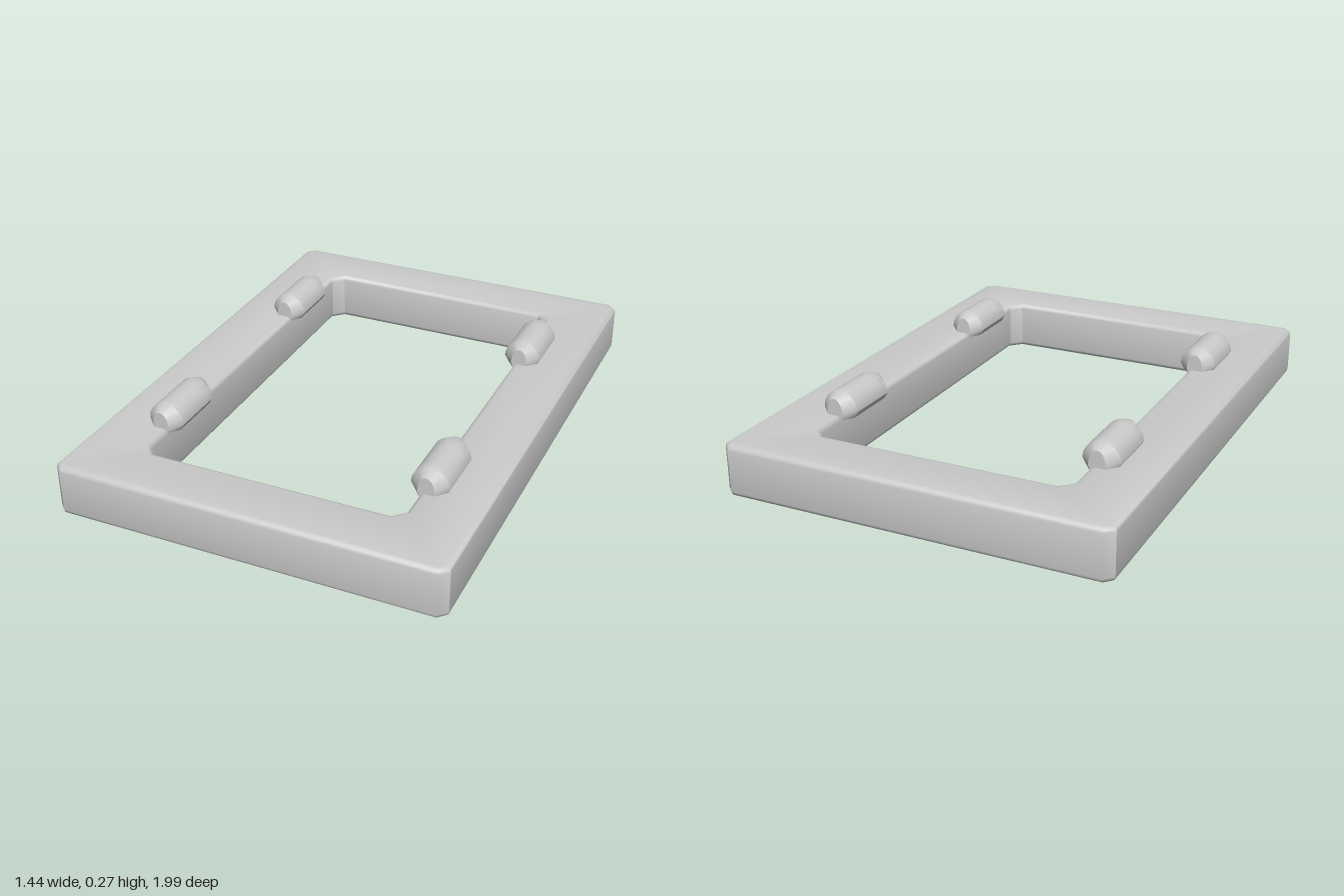
import * as THREE from 'three';
import { toCreasedNormals } from 'three/addons/utils/BufferGeometryUtils.js';

const material = new THREE.MeshStandardMaterial({ color: 0xcccccc });

// Rectangle outline with cut corners
function cutRectangle(PathType, w, d, cut) {
  const pts = [
    [w - cut, -d], [w, -d + cut], [w, d - cut], [w - cut, d],
    [-w + cut, d], [-w, d - cut], [-w, -d + cut], [-w + cut, -d],
  ];
  return new PathType(pts.map(([x, y]) => new THREE.Vector2(x, y)));
}

function createFrame() {
  const bevel = 0.018, height = 0.19;
  const shape = cutRectangle(THREE.Shape, 0.72 - bevel, 0.995 - bevel, 0.02);
  shape.holes.push(cutRectangle(THREE.Path, 0.483 + bevel, 0.78 + bevel, 0.05));
  const geometry = new THREE.ExtrudeGeometry(shape, {
    depth: height - 2 * bevel, bevelEnabled: true,
    bevelSize: bevel, bevelThickness: bevel, bevelSegments: 3,
  });
  geometry.rotateX(-Math.PI / 2).translate(0, bevel, 0);
  const frame = new THREE.Mesh(toCreasedNormals(geometry, 0.7), material);
  frame.name = 'frame';
  return frame;
}

// Half-round peg with a short straight base and tapered ends
function createPegGeometry() {
  const r = 0.07, base = -0.025, length = 0.285, steps = 7;
  const shape = new THREE.Shape();
  shape.moveTo(-0.055, base);
  shape.lineTo(0.055, base);
  for (let i = 0; i <= 10; i++) {
    const a = (i / 10) * Math.PI;
    shape.lineTo(r * Math.cos(a), r * Math.sin(a));
  }
  const geometry = new THREE.ExtrudeGeometry(shape, { depth: length, steps, bevelEnabled: false });
  geometry.translate(0, 0, -length / 2);
  const p = geometry.attributes.position;
  for (let i = 0; i < p.count; i++) {
    if (Math.abs(p.getZ(i)) < length / 2 - 0.005) continue;
    p.setX(i, p.getX(i) * 0.45);
    p.setY(i, base + (p.getY(i) - base) * 0.82);
  }
  return toCreasedNormals(geometry, 0.6);
}

export function createModel() {
  const model = new THREE.Group();
  model.name = 'frameWithPegs';
  model.add(createFrame());

  // Two pegs on each long rail, overhanging the opening
  const pegGeometry = createPegGeometry();
  for (const x of [-0.508, 0.505]) {
    for (const z of [-0.475, 0.49]) {
      const peg = new THREE.Mesh(pegGeometry, material);
      peg.name = (x > 0 ? 'left' : 'right') + (z > 0 ? 'Front' : 'Back') + 'Peg';
      peg.position.set(x, 0.2, z);
      model.add(peg);
    }
  }
  return model;
}
